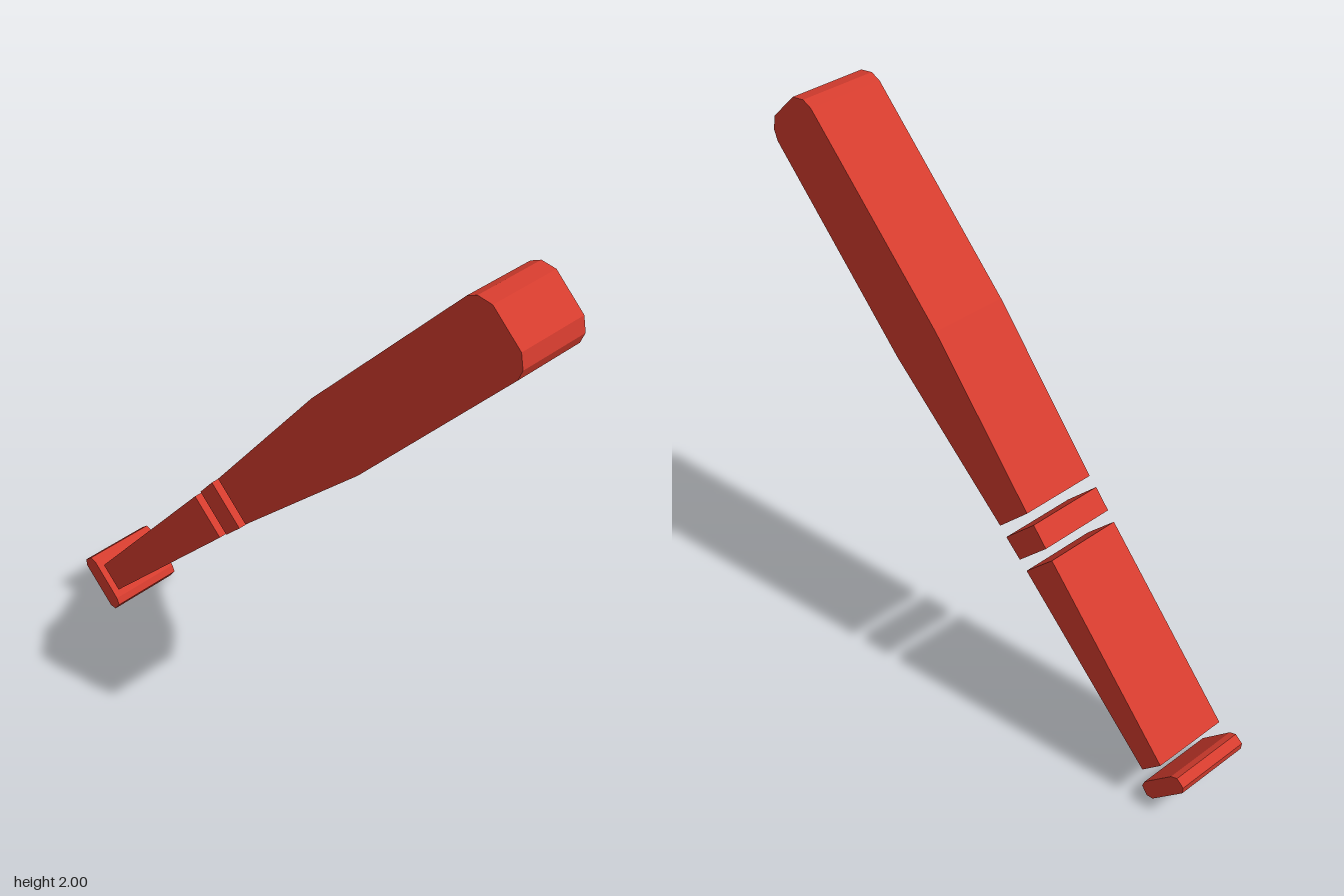
import * as THREE from 'three';

const DEPTH = 0.295;

// Flat slab from a half profile [distance along axis, half width], mirrored about the axis
function slab(name, profile, material) {
  const mirrored = profile.map(([u, v]) => [u, -v]);
  const outline = [...mirrored, ...profile.slice().reverse()];
  const shape = new THREE.Shape(outline.map(([u, v]) => new THREE.Vector2(u, v)));
  const geometry = new THREE.ExtrudeGeometry(shape, { depth: DEPTH, bevelEnabled: false });
  geometry.translate(0, 0, -DEPTH / 2);
  const mesh = new THREE.Mesh(geometry, material);
  mesh.name = name;
  return mesh;
}

export function createModel() {
  const red = new THREE.MeshStandardMaterial({ color: 0xd43c2e });
  red.name = 'red';

  // Bat laid along its own axis, then tilted to the diagonal
  const bat = new THREE.Group();
  bat.name = 'bat';
  bat.add(
    slab('knob', [[-1.32, 0.09], [-1.303, 0.111], [-1.266, 0.106], [-1.255, 0.08]], red),
    slab('grip', [[-1.211, 0.055], [-0.435, 0.085]], red),
    slab('ring', [[-0.391, 0.088], [-0.302, 0.093]], red),
    slab('barrel', [[-0.258, 0.092], [0.412, 0.143], [1.251, 0.14], [1.29, 0.124], [1.322, 0.078]], red),
  );
  bat.rotation.z = Math.PI / 4;
  bat.position.y = 1;

  const model = new THREE.Group();
  model.name = 'model';
  model.add(bat);
  return model;
}
